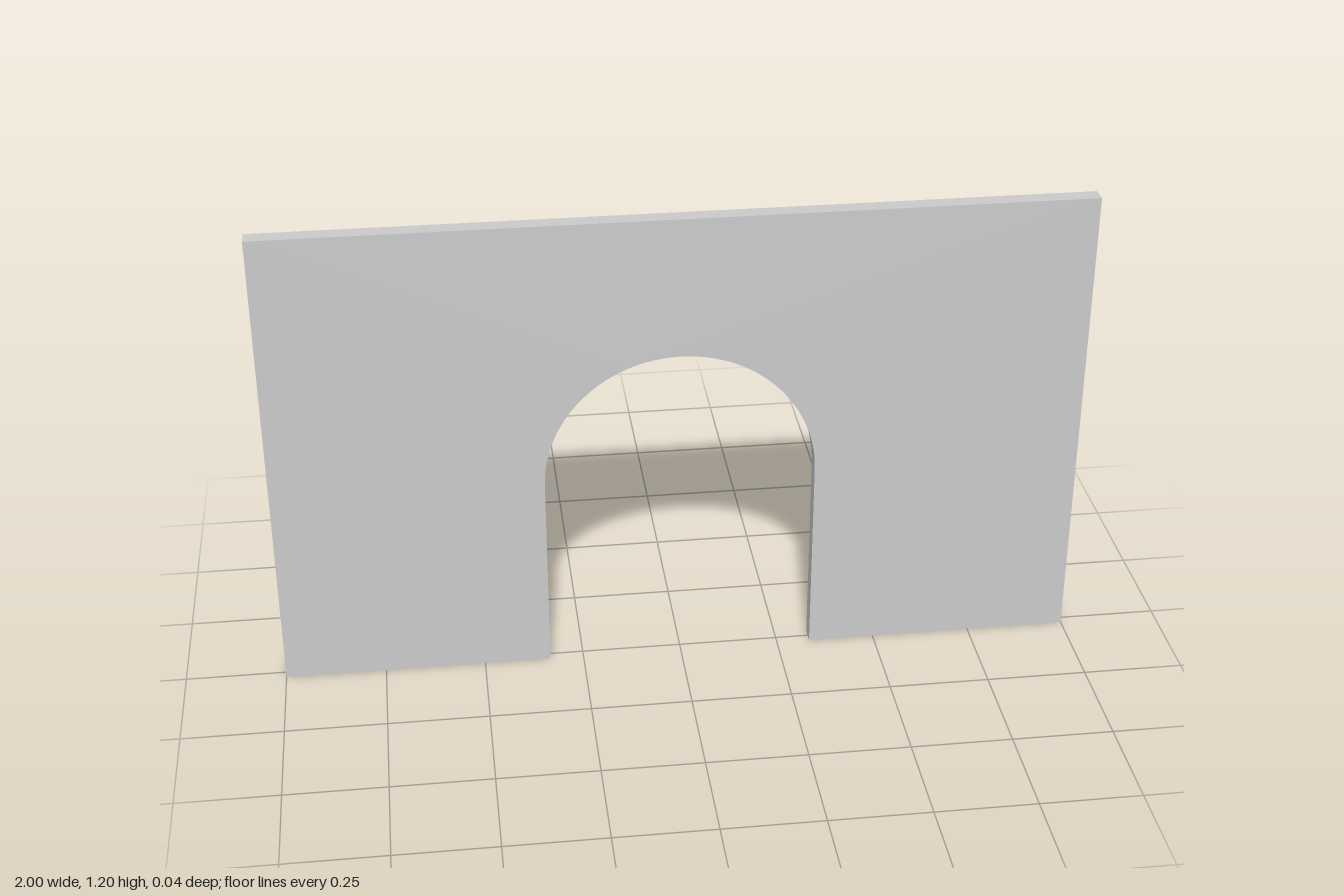
import * as THREE from 'three';
import { toCreasedNormals } from 'three/addons/utils/BufferGeometryUtils.js';

export function createModel() {
  const group = new THREE.Group();
  group.name = 'archedWall';

  const halfWidth = 1, height = 1.2, depth = 0.042;
  const archRadius = 0.334, springHeight = 0.51;

  // Wall outline with a round-headed doorway open at the bottom
  const outline = new THREE.Shape();
  outline.moveTo(-halfWidth, 0);
  outline.lineTo(-archRadius, 0);
  outline.lineTo(-archRadius, springHeight);
  outline.absarc(0, springHeight, archRadius, Math.PI, 0, true);
  outline.lineTo(archRadius, 0);
  outline.lineTo(halfWidth, 0);
  outline.lineTo(halfWidth, height);
  outline.lineTo(-halfWidth, height);
  outline.closePath();

  // Thin slab, smooth inside the arch and sharp at its edges
  const slab = new THREE.ExtrudeGeometry(outline, { depth, bevelEnabled: false, curveSegments: 24 });
  slab.translate(0, 0, -depth / 2);

  const wall = new THREE.Mesh(
    toCreasedNormals(slab, 0.5),
    new THREE.MeshStandardMaterial({ color: 0xcccccc })
  );
  wall.name = 'wallWithArchway';
  group.add(wall);
  return group;
}
